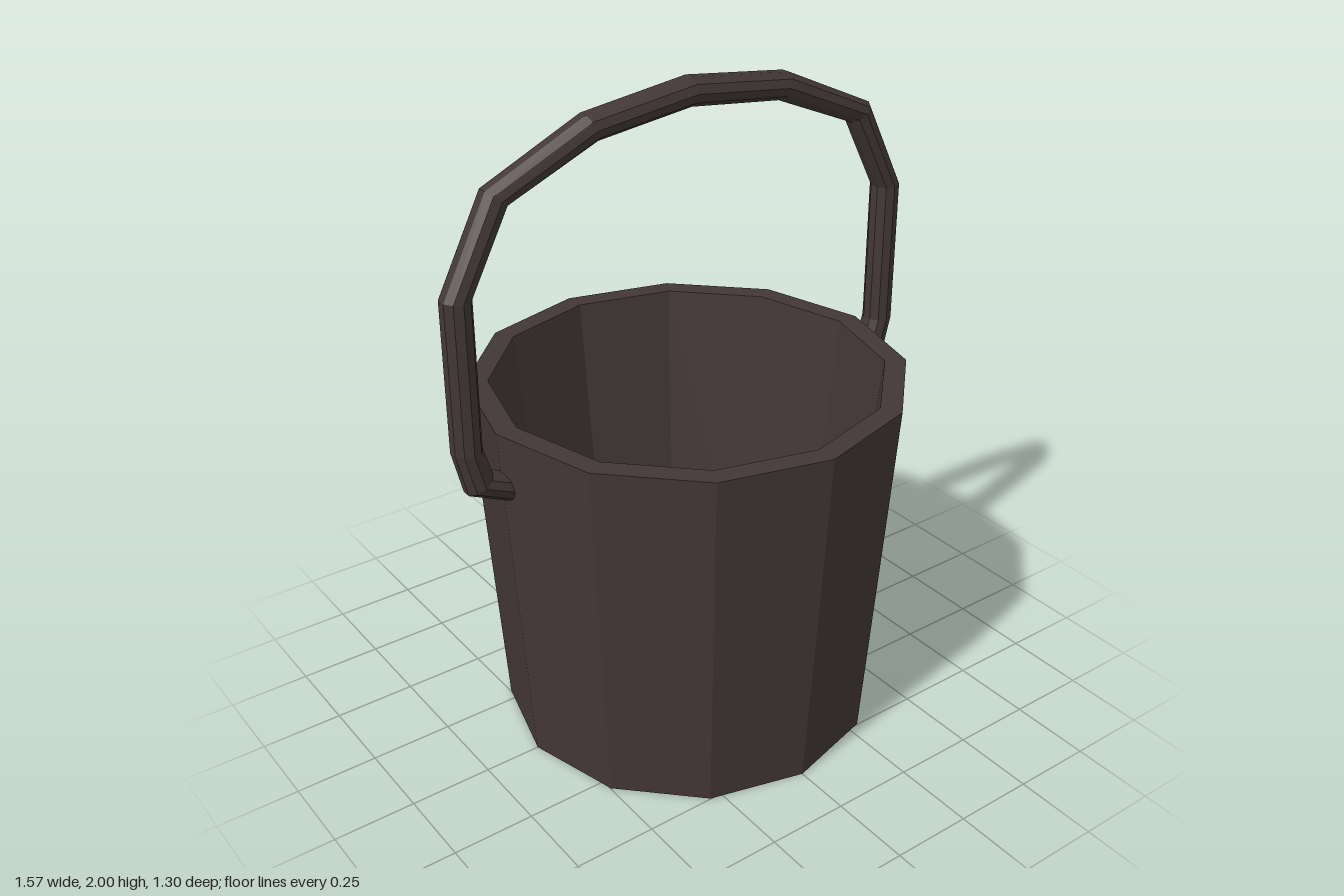
import * as THREE from 'three';

const SIDES = 12;          // facets around the bucket
const BAR_SIDES = 10;      // facets around the handle bar
const BAR_HALF_DEPTH = 0.0455;

// Split shared vertices so every facet gets its own flat normal
function faceted(geometry) {
  const g = geometry.index ? geometry.toNonIndexed() : geometry;
  g.computeVertexNormals();
  return g;
}

// Bar through stations [outerX, outerY, innerX, innerY]: one polygonal ring per station
function sweepBar(stations) {
  const positions = [];
  const index = [];
  const flat = Math.cos(Math.PI / BAR_SIDES); // outer and inner faces are flats
  for (const [ox, oy, ix, iy] of stations) {
    for (let k = 0; k < BAR_SIDES; k++) {
      const a = ((k + 0.5) / BAR_SIDES) * Math.PI * 2;
      const n = Math.cos(a) / flat / 2;
      positions.push(
        (ox + ix) / 2 + (ox - ix) * n,
        (oy + iy) / 2 + (oy - iy) * n,
        Math.sin(a) * BAR_HALF_DEPTH,
      );
    }
  }
  const end = (stations.length - 1) * BAR_SIDES;
  for (let i = 0; i < end; i += BAR_SIDES) {
    for (let k = 0; k < BAR_SIDES; k++) {
      const a = i + k;
      const b = i + ((k + 1) % BAR_SIDES);
      const c = a + BAR_SIDES;
      const d = b + BAR_SIDES;
      index.push(a, b, c, b, d, c);
    }
  }
  // End caps
  for (let k = 1; k < BAR_SIDES - 1; k++) {
    index.push(0, k + 1, k, end, end + k, end + k + 1);
  }
  const g = new THREE.BufferGeometry();
  g.setAttribute('position', new THREE.Float32BufferAttribute(positions, 3));
  g.setIndex(index);
  return faceted(g);
}

export function createModel() {
  const group = new THREE.Group();
  group.name = 'bucket';

  const darkBrown = new THREE.MeshStandardMaterial({ color: 0x433737 });
  darkBrown.name = 'darkBrown';

  // Tub: recessed underside, tapered wall, flat rim, inside wall and floor
  const profile = [
    [0, 0.025], [0.525, 0.025], [0.575, 0], [0.65, 1.12],
    [0.585, 1.12], [0.475, 0.04], [0, 0.04],
  ].map(([r, y]) => new THREE.Vector2(r, y));
  const tub = new THREE.Mesh(faceted(new THREE.LatheGeometry(profile, SIDES)), darkBrown);
  tub.name = 'tub';
  group.add(tub);

  // Handle: right half mirrored across x, its ends sunk into the wall
  const half = [
    [0.6, 0.895, 0.6, 0.98],
    [0.752, 0.967, 0.674, 1.012],
    [0.784, 1.1, 0.7, 1.1],
    [0.784, 1.545, 0.7, 1.54],
    [0.645, 1.817, 0.582, 1.765],
    [0.338, 1.957, 0.302, 1.882],
  ];
  const stations = [
    ...half.map(([ox, oy, ix, iy]) => [-ox, oy, -ix, iy]),
    [0, 2, 0, 1.918],
    ...half.slice().reverse(),
  ];
  const handle = new THREE.Mesh(sweepBar(stations), darkBrown);
  handle.name = 'handle';
  group.add(handle);

  return group;
}
